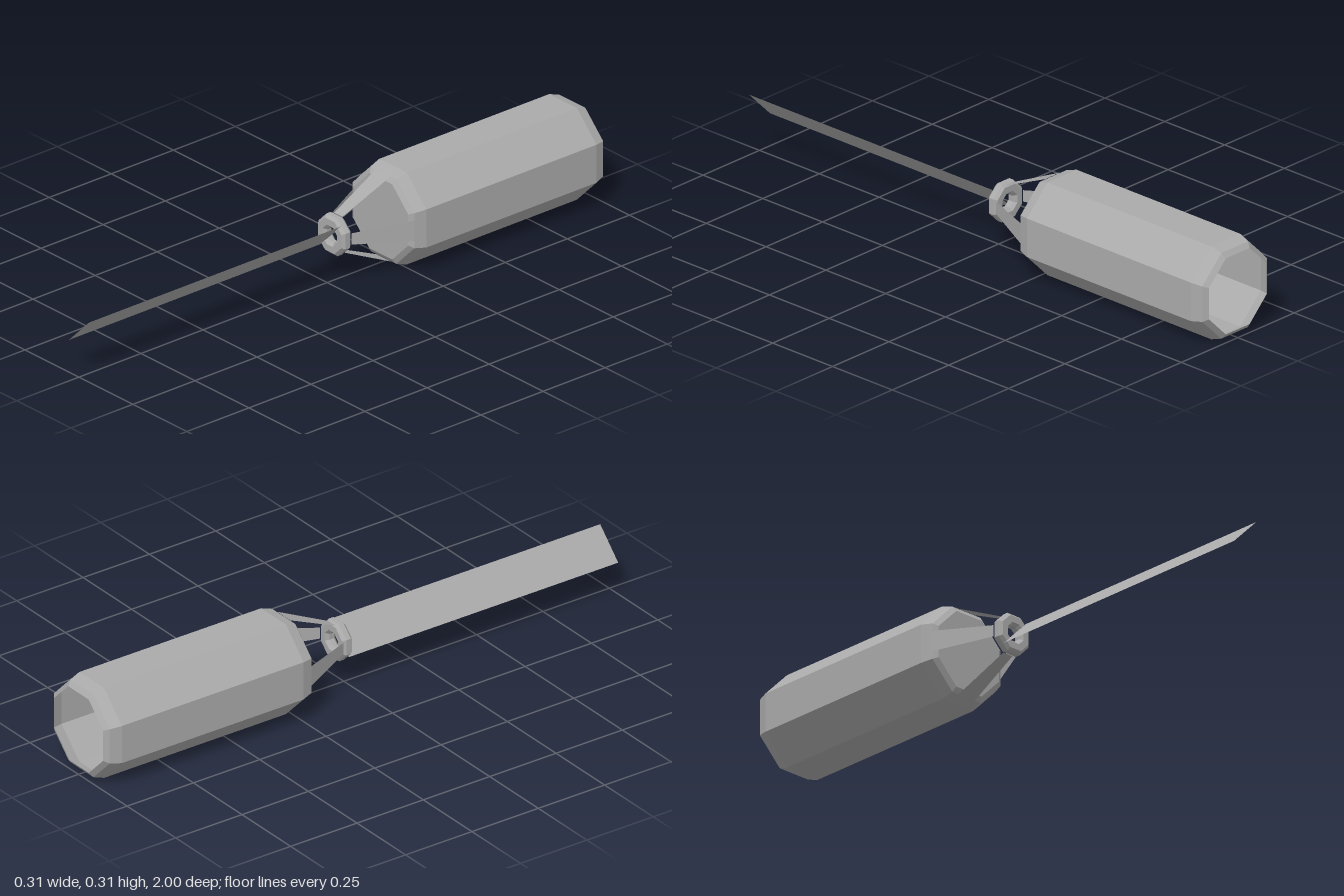
import * as THREE from 'three';

const SIDES = 8;

// Octagonal shell around the z axis; profile rows are [distance to flat, z]
function octagon(profile, material, name) {
  const k = 1 / Math.cos(Math.PI / SIDES);
  const points = profile.map(([r, z]) => new THREE.Vector2(r * k, z));
  const geometry = new THREE.LatheGeometry(points, SIDES, Math.PI / SIDES);
  geometry.rotateX(Math.PI / 2);
  const mesh = new THREE.Mesh(geometry, material);
  mesh.name = name;
  return mesh;
}

// Thin tapered strip from the collar to the rim of the handle
function strutGeometry() {
  const geometry = new THREE.BufferGeometry();
  geometry.setAttribute('position', new THREE.Float32BufferAttribute([
    -0.019, 0.06, -0.045, 0.019, 0.06, -0.045,
    0.034, 0.144, -0.227, -0.034, 0.144, -0.227,
  ], 3));
  geometry.setIndex([0, 1, 2, 0, 2, 3]);
  geometry.computeVertexNormals();
  return geometry;
}

export function createModel() {
  const model = new THREE.Group();
  const grey = new THREE.MeshStandardMaterial({ color: 0xaaaaaa, flatShading: true, side: THREE.DoubleSide });
  grey.name = 'grey';

  const body = new THREE.Group();
  body.name = 'body';
  body.position.y = 0.155;
  model.add(body);

  // Hollow handle, closed at the front and open at the back
  body.add(octagon([
    [0.127, -1], [0.143, -0.987], [0.155, -0.95], [0.155, -0.265],
    [0.143, -0.227], [0.127, -0.216], [0, -0.216],
  ], grey, 'handle'));

  // Bevelled collar ring
  body.add(octagon([
    [0.033, -0.047], [0.054, -0.047], [0.063, -0.037], [0.063, -0.02], [0.054, -0.01],
    [0.033, -0.01], [0.024, -0.02], [0.024, -0.037], [0.033, -0.047],
  ], grey, 'collar'));

  // Four struts
  const strut = strutGeometry();
  for (let i = 0; i < 4; i++) {
    const mesh = new THREE.Mesh(strut, grey);
    mesh.name = 'strut';
    mesh.rotation.z = i * Math.PI / 2;
    body.add(mesh);
  }

  // Flat blade, tilted 45 degrees about its length
  const back = -0.015;
  const bladeGeometry = new THREE.PlaneGeometry(0.131, 1 - back);
  bladeGeometry.rotateX(-Math.PI / 2);
  bladeGeometry.rotateZ(Math.PI / 4);
  const blade = new THREE.Mesh(bladeGeometry, grey);
  blade.name = 'blade';
  blade.position.z = (1 + back) / 2;
  body.add(blade);

  return model;
}
